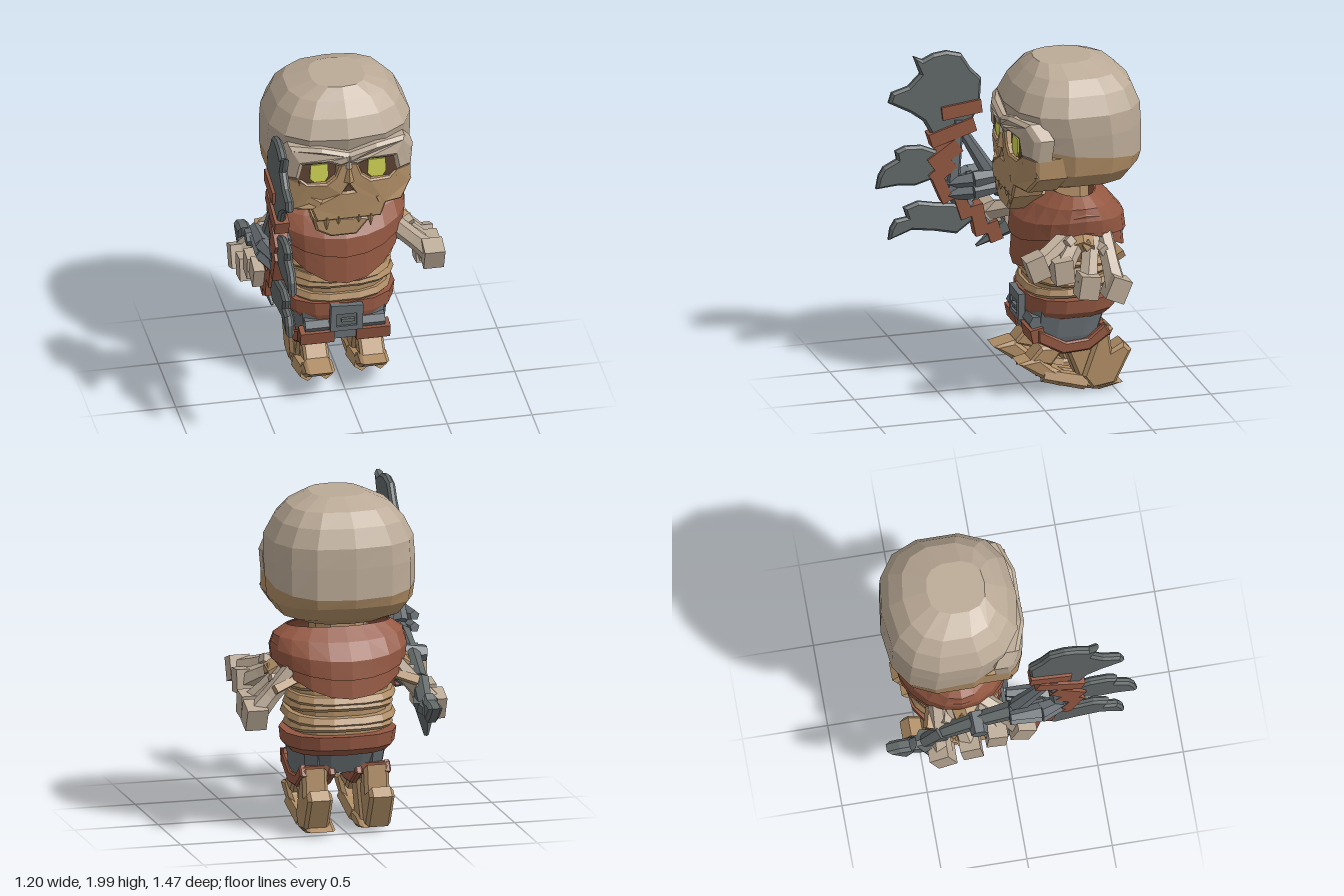
import * as THREE from 'three';

const mat = (name, color, side = THREE.FrontSide) => {
  const m = new THREE.MeshStandardMaterial({ color, side });
  m.name = name;
  return m;
};
const V = (p) => new THREE.Vector3(...p);

// Faceted normals on every part
function flat(g) {
  const f = g.index ? g.toNonIndexed() : g;
  f.computeVertexNormals();
  return f;
}

function mesh3(pos, idx) {
  const g = new THREE.BufferGeometry();
  g.setAttribute('position', new THREE.Float32BufferAttribute(pos, 3));
  g.setIndex(idx);
  return g;
}

// Rounded-square rings [y, halfWidth, zFront, zBack, tilt] joined bottom to top
function loft(rings, n = 16, p = 2.6, cx = 0) {
  const pos = [], idx = [], pw = (v) => Math.sign(v) * Math.abs(v) ** (2 / p);
  rings.forEach(([y, rx, zf, zb, tilt = 0]) => {
    for (let j = 0; j < n; j++) {
      const t = ((j + 0.5) / n) * Math.PI * 2, s = Math.sin(t);
      pos.push(cx + rx * pw(Math.cos(t)), y + tilt * s, (zf + zb) / 2 + ((zf - zb) / 2) * pw(s));
    }
  });
  const last = rings.length - 1;
  for (let i = 0; i < last; i++) for (let j = 0; j < n; j++) {
    const k = (j + 1) % n, a = i * n + j, b = a + n, c = i * n + k, d = c + n;
    idx.push(a, b, c, c, b, d);
  }
  for (const [r, up] of [[0, false], [last, true]]) {
    const q = rings[r], m = pos.length / 3;
    pos.push(cx, q[0], (q[2] + q[3]) / 2);
    for (let j = 0; j < n; j++) {
      const a = r * n + j, c = r * n + (j + 1) % n;
      if (up) idx.push(m, c, a); else idx.push(m, a, c);
    }
  }
  return mesh3(pos, idx);
}

// Tapered bar between two points
function beam(a, b, ra, rb, sides = 5) {
  const A = V(a), B = V(b), d = B.clone().sub(A);
  const g = new THREE.CylinderGeometry(rb, ra, d.length(), sides);
  g.applyQuaternion(new THREE.Quaternion().setFromUnitVectors(V([0, 1, 0]), d.clone().normalize()));
  const c = A.add(B).multiplyScalar(0.5);
  return g.translate(c.x, c.y, c.z);
}

const vec2 = (pts) => pts.map((p) => new THREE.Vector2(...p));
const shapeOf = (pts) => new THREE.Shape(vec2(pts));
const solid = (shape, depth, bevel = 0) => new THREE.ExtrudeGeometry(shape, {
  depth, bevelEnabled: bevel > 0, bevelSize: bevel, bevelThickness: bevel, bevelSegments: 1, bevelOffset: -bevel,
});
// Outline given as (z, y), thickness across x
const sidePlate = (pts, x, w, bevel = 0.012) =>
  solid(shapeOf(pts), w - 2 * bevel, bevel).rotateY(-Math.PI / 2).translate(x + w / 2 - bevel, 0, 0);

// Hanging cloth: low in front and back, lifted over the arms
function drape(rows, out, front, back) {
  const n = 20, pos = [], idx = [];
  for (let i = 0; i < rows; i++) for (let j = 0; j < n; j++) {
    const t = (j / n) * Math.PI * 2, s = Math.sin(t), c = Math.cos(t), u = i / (rows - 1);
    const rx = 0.29 + 0.12 * Math.min(1, u * 2.2) + out, rz = 0.13 + 0.14 * Math.min(1, u * 1.6) + 0.045 * u + out;
    const hem = 1.02 - (s > 0 ? front : back) * Math.abs(s) ** 1.5;
    pos.push(rx * c * (1 - 0.08 * u), 1.22 + out * 0.5 + (hem - 1.22) * u ** 1.2, -0.28 + rz * s);
  }
  for (let i = 0; i < rows - 1; i++) for (let j = 0; j < n; j++) {
    const k = (j + 1) % n, a = i * n + j, b = a + n, c = i * n + k, d = c + n;
    idx.push(a, c, b, c, d, b);
  }
  return mesh3(pos, idx);
}

export function createModel() {
  const root = new THREE.Group();
  const bone = mat('pale bone', 0xbbaa97), tan = mat('tan bone', 0xb08e66);
  const rust = mat('rust cloth', 0x945842, THREE.DoubleSide);
  const iron = mat('dark iron', 0x626868), slate = mat('slate metal', 0x697075);
  const yellow = mat('yellow eye', 0xd4d856), hollow = mat('dark hollow', 0x5e4432);
  const group = (name) => {
    const g = new THREE.Group();
    g.name = name;
    root.add(g);
    return g;
  };
  const add = (name, g, m, parent) => {
    const o = new THREE.Mesh(flat(g), m);
    o.name = name;
    parent.add(o);
  };

  // Skull: pale dome over a tan base
  const head = group('head'), seam = [1.5, 0.427, 0.04, -0.69, 0.055];
  add('skullDome', loft([seam, [1.63, 0.43, 0.07, -0.69], [1.75, 0.425, 0.105, -0.685],
    [1.86, 0.37, 0.05, -0.64], [1.94, 0.3, -0.02, -0.56], [2, 0.16, -0.08, -0.42]], 14), bone, head);
  add('skullBase', loft([[1.27, 0.25, -0.02, -0.54], [1.31, 0.36, 0, -0.61], [1.39, 0.415, 0.03, -0.67], seam], 14), tan, head);

  // Face halves with open sockets and a nose notch
  const bend = (g) => {
    const p = g.attributes.position;
    for (let i = 0; i < p.count; i++) p.setZ(i, p.getZ(i) - 2 * Math.max(0, Math.abs(p.getX(i)) - 0.16) ** 2);
    return g;
  };
  const face = [[-0.012, 1.6], [0.05, 1.59], [0.08, 1.51], [0.13, 1.47], [0.24, 1.47], [0.29, 1.51], [0.385, 1.5],
    [0.385, 1.38], [0.32, 1.29], [0.22, 1.3], [0.19, 1.22], [-0.012, 1.22], [-0.012, 1.4], [0.035, 1.4], [-0.012, 1.47]];
  const brow = [[-0.012, 1.6], [0.05, 1.58], [0.12, 1.61], [0.27, 1.6], [0.29, 1.5], [0.385, 1.49], [0.4, 1.62], [0.34, 1.71], [0.16, 1.71], [-0.012, 1.66]];
  add('noseHollow', new THREE.BoxGeometry(0.09, 0.08, 0.008).translate(0, 1.43, 0.085), hollow, head);
  add('noseRidge', beam([0, 1.65, 0.08], [0, 1.56, 0.09], 0.03, 0.04, 4), bone, head);
  add('noseBridge', beam([0, 1.56, 0.085], [0, 1.47, 0.095], 0.035, 0.045, 4), tan, head);
  for (const s of [-1, 1]) {
    const side = (pts) => shapeOf(pts.map(([x, y]) => [s * x, y]));
    add('face', bend(solid(side(face), 0.17, 0.01).translate(0, 0, -0.07)), tan, head);
    add('brow', bend(solid(side(brow), 0.08, 0.02).translate(0, 0, 0.025)), bone, head);
    add('eyeSocket', new THREE.BoxGeometry(0.22, 0.17, 0.008).translate(s * 0.18, 1.54, 0.07), hollow, head);
    add('eye', solid(shapeOf([[-0.055, 1.5], [-0.03, 1.475], [0.035, 1.475], [0.055, 1.51], [0.05, 1.59], [-0.05, 1.59]]), 0.009).translate(s * 0.17, 0, 0.074), yellow, head);
    add('cheek', beam([s * 0.36, 1.42, -0.02], [s * 0.16, 1.33, 0.09], 0.05, 0.03, 5), tan, head);
    for (const [x, l] of [[0.06, 0.05], [0.13, 0.08]])
      add('fang', beam([s * x, 1.24, 0.09], [s * x, 1.24 - l, 0.1], 0.025, 0.003, 4), tan, head);
  }
  add('lowerJaw', solid(shapeOf([[-0.21, 1.24], [-0.19, 1.15], [-0.1, 1.1], [0.05, 1.1], [0.13, 1.2], [0.1, 1.22]]), 0.3, 0.015).translate(0, 0, -0.22), tan, head);
  add('neck', loft([[1.05, 0.16, -0.1, -0.4], [1.3, 0.15, -0.08, -0.4]], 8), tan, head);

  // Cloth over the shoulders, with a fold on top
  const cloth = group('cowl');
  add('cowl', drape(7, 0.01, 0.275, 0.19), rust, cloth);
  add('cowlFold', drape(4, 0.02, 0.1, 0.08), rust, cloth);

  // Wrapped body
  const body = group('body');
  add('chest', loft([[0.58, 0.27, -0.03, -0.5], [0.85, 0.3, -0.02, -0.5], [1.04, 0.29, -0.07, -0.47], [1.12, 0.2, -0.14, -0.4]]), tan, body);
  for (let i = 0; i < 5; i++) {
    const y = 0.61 + i * 0.062, w = 0.315 + (i % 2) * 0.015, tl = i % 2 ? 0.02 : -0.015;
    add('bandage', loft([[y, w - 0.02, -0.01, -0.54, tl], [y + 0.02, w, 0.005, -0.56, tl], [y + 0.055, w - 0.015, -0.01, -0.54, tl]]), tan, body);
  }

  // Belt, buckle and hip cloth
  const hips = group('hips');
  add('belt', loft([[0.48, 0.29, 0, -0.51], [0.52, 0.325, 0.01, -0.55], [0.6, 0.335, 0.01, -0.56]], 14), rust, hips);
  add('hipCloth', loft([[0.36, 0.22, -0.05, -0.44], [0.5, 0.285, -0.01, -0.5]], 12), slate, hips);
  add('loincloth', new THREE.BoxGeometry(0.14, 0.12, 0.04).translate(0, 0.42, -0.02), slate, hips);
  const buckle = shapeOf([[-0.095, 0.43], [0.095, 0.43], [0.1, 0.59], [-0.09, 0.6]]);
  buckle.holes.push(new THREE.Path(vec2([[-0.06, 0.46], [-0.06, 0.54], [0.06, 0.54], [0.06, 0.46]])));
  add('buckle', solid(buckle, 0.04), slate, hips);
  add('bucklePlate', new THREE.BoxGeometry(0.14, 0.1, 0.01).translate(0, 0.5, 0.022), iron, hips);
  add('buckleTongue', new THREE.BoxGeometry(0.08, 0.02, 0.02).translate(0.01, 0.5, 0.035), slate, hips);

  for (const s of [-1, 1]) {
    // Legs, V-shaped knee wraps and raised clawed feet
    const leg = group(s > 0 ? 'leftLeg' : 'rightLeg'), x = s * 0.165, dz = s > 0 ? -0.05 : 0;
    add('thigh', loft([[0.25, 0.07, -0.12, -0.34], [0.36, 0.1, -0.02, -0.42], [0.52, 0.12, -0.02, -0.47]], 10, 2.4, x), slate, leg);
    for (const i of [-1, 1])
      add('kneeWrap', sidePlate([[-0.03, 0.42], [-0.03, 0.34], [-0.18, 0.26], [-0.34, 0.27], [-0.47, 0.36], [-0.43, 0.42], [-0.33, 0.34], [-0.2, 0.33]], x + i * 0.085, 0.045, 0.01), rust, leg);
    add('kneeBackWrap', new THREE.BoxGeometry(0.18, 0.06, 0.03).translate(x, 0.38, -0.43), rust, leg);
    add('kneePad', new THREE.BoxGeometry(0.2, 0.08, 0.08).rotateX(0.2).translate(x, 0.385, -0.03), rust, leg);
    add('thighPad', beam([x - 0.07, 0.45, -0.03], [x + 0.07, 0.45, -0.03], 0.045, 0.045, 6), slate, leg);
    const sole = [[0.13, 0.21], [0, 0.24], [-0.08, 0.17], [-0.2, 0.1], [-0.38, 0.1], [-0.5, 0.04], [-0.36, 0.01], [-0.1, 0.06], [0.02, 0.13]];
    add('sole', sidePlate(sole.map(([z, y]) => [z + dz, y]), x, 0.17, 0.02), tan, leg);
    add('instep', sidePlate([[0.01, 0.22], [-0.06, 0.3], [-0.2, 0.29], [-0.12, 0.18]], x, 0.15, 0.015), tan, leg);
    add('shin', sidePlate([[-0.2, 0.3], [-0.36, 0.3], [-0.45, 0.06], [-0.3, 0.04]], x, 0.14, 0.02), tan, leg);
    add('heel', sidePlate([[-0.6, 0.24], [-0.55, 0.29], [-0.48, 0.25], [-0.46, 0.4], [-0.4, 0.38], [-0.3, 0.1], [-0.36, 0.02], [-0.5, 0.04]], x + s * 0.02, 0.15, 0.02), tan, leg);
    for (const i of [-1, 1])
      add('toe', beam([x + i * 0.05, 0.06, -0.28 + dz], [x + i * 0.055, 0.13, -0.02 + dz], 0.05, 0.045, 5), tan, leg);

    // Arms fan out into four blunt bony fingers over a row of thin bones
    const arm = group(s > 0 ? 'leftArm' : 'rightArm');
    add('upperArm', beam([s * 0.24, 1.0, -0.27], [s * 0.4, 0.92, -0.25], 0.11, 0.085, 7), tan, arm);
    // Finger tip x, y, z and block size
    const tips = [[0.505, 0.9, 0.055, 0.12], [0.51, 0.865, -0.1, 0.12], [0.52, 0.76, -0.25, 0.125], [0.535, 0.735, -0.42, 0.125]];
    tips.forEach(([tx, ty, tz, w], i) => {
      const base = [s * 0.3, 1.0, -0.2 - i * 0.07], tip = [s * tx, ty, tz];
      const mid = V(base).lerp(V(tip), 0.62).toArray();
      add('fingerBone', beam(base, mid, 0.055, 0.055, 6), bone, arm);
      add('fingerLink', beam(mid, tip, 0.055, 0.065, 6), bone, arm);
      add('fingerBlock', new THREE.BoxGeometry(w, 0.14, w * 0.95).rotateX(0.35 - i * 0.25).translate(s * tx, ty, tz), bone, arm);
      add('thinBone', beam([s * 0.28, 0.94, -0.14 - i * 0.1], [s * 0.43, 1.01 - i * 0.04, -0.18 - i * 0.1], 0.03, 0.035, 4), i % 2 ? tan : bone, arm);
    });
  }

  // Branching blade weapon held along the right side
  const weapon = group('weapon'), wx = -0.458;
  const blades = [
    [[0.51, 1.91], [0.455, 1.885], [0.39, 1.915], [0.31, 1.925], [0.22, 1.9], [0.165, 1.81], [0.1, 1.74], [0.11, 1.58], [0.2, 1.4], [0.39, 1.4],
      [0.45, 1.51], [0.53, 1.57], [0.66, 1.64], [0.64, 1.7], [0.54, 1.73], [0.47, 1.8]],
    [[0.735, 1.12], [0.72, 1.2], [0.69, 1.25], [0.61, 1.29], [0.62, 1.34], [0.56, 1.365], [0.46, 1.36], [0.29, 1.285], [0.24, 1.18], [0.3, 1.1], [0.39, 1.15], [0.5, 1.12], [0.61, 1.13]],
    [[0.66, 0.8], [0.65, 0.87], [0.62, 0.92], [0.55, 0.93], [0.57, 0.99], [0.48, 1.02], [0.38, 1.0], [0.14, 0.97], [0.14, 0.88], [0.25, 0.8], [0.38, 0.83], [0.52, 0.85]],
  ];
  for (const b of blades) add('blade', sidePlate(b, wx, 0.05, 0.015), iron, weapon);
  add('upperShaft', beam([wx, 1.08, 0.28], [wx, 1.5, 0.24], 0.05, 0.04, 6), slate, weapon);
  add('lowerShaft', beam([wx, 1.12, 0.34], [wx, 0.78, 0.02], 0.045, 0.04, 6), slate, weapon);
  add('shaftBrace', beam([wx, 1.42, 0.21], [wx, 1.12, 0.03], 0.03, 0.05, 6), slate, weapon);
  // Wraps: z, y, length, height, turn
  const wraps = [[0.225, 1.565, 0.24, 0.08, 0.12], [0.28, 1.43, 0.28, 0.085, 0.3], [0.325, 1.295, 0.2, 0.09, 0.6],
    [0.34, 1.2, 0.16, 0.08, 0.7], [0.34, 1.09, 0.07, 0.17, 0.4], [0.22, 0.98, 0.07, 0.17, 0.3], [0.12, 0.88, 0.08, 0.19, 0.2], [0.03, 0.8, 0.08, 0.12, 0.3]];
  for (const [z, y, l, h, r] of wraps)
    add('gripWrap', new THREE.BoxGeometry(0.085, h, l).rotateX(r).translate(wx, y, z), rust, weapon);
  // Curved guard claws on both sides
  for (const s of [-1, 1]) for (const y of [1.07, 1.14]) {
    add('guardClaw', beam([wx, y - 0.03, 0.34], [wx + s * 0.06, y, 0.16], 0.025, 0.05, 5), slate, weapon);
    add('guardClawTip', beam([wx + s * 0.06, y, 0.16], [wx + s * 0.075, y + 0.02, -0.02], 0.05, 0.03, 5), slate, weapon);
  }
  // Handle arching over the hand, then dropping to a pointed pommel
  const path = [[0.2, 1.12], [0, 1.06], [-0.22, 0.98], [-0.4, 0.88], [-0.52, 0.74], [-0.62, 0.74]];
  path.slice(1).forEach(([z, y], i) => add('handle', beam([wx, path[i][1], path[i][0]], [wx, y, z], 0.055, 0.045, 6), iron, weapon));
  add('handleKnot', beam([wx - 0.09, 0.98, -0.2], [wx + 0.04, 0.99, -0.2], 0.05, 0.06, 6), slate, weapon);
  add('handleSpike', beam([wx, 0.78, -0.5], [wx - 0.02, 0.56, -0.47], 0.08, 0.015, 5), iron, weapon);
  add('handleBarb', beam([wx, 0.82, -0.06], [wx, 0.71, 0.13], 0.06, 0.008, 5), iron, weapon);
  add('pommel', sidePlate([[-0.735, 0.78], [-0.66, 0.8], [-0.6, 0.8], [-0.56, 0.83], [-0.57, 0.74], [-0.62, 0.67], [-0.67, 0.71]], wx - 0.012, 0.085, 0.02), iron, weapon);

  return root;
}
